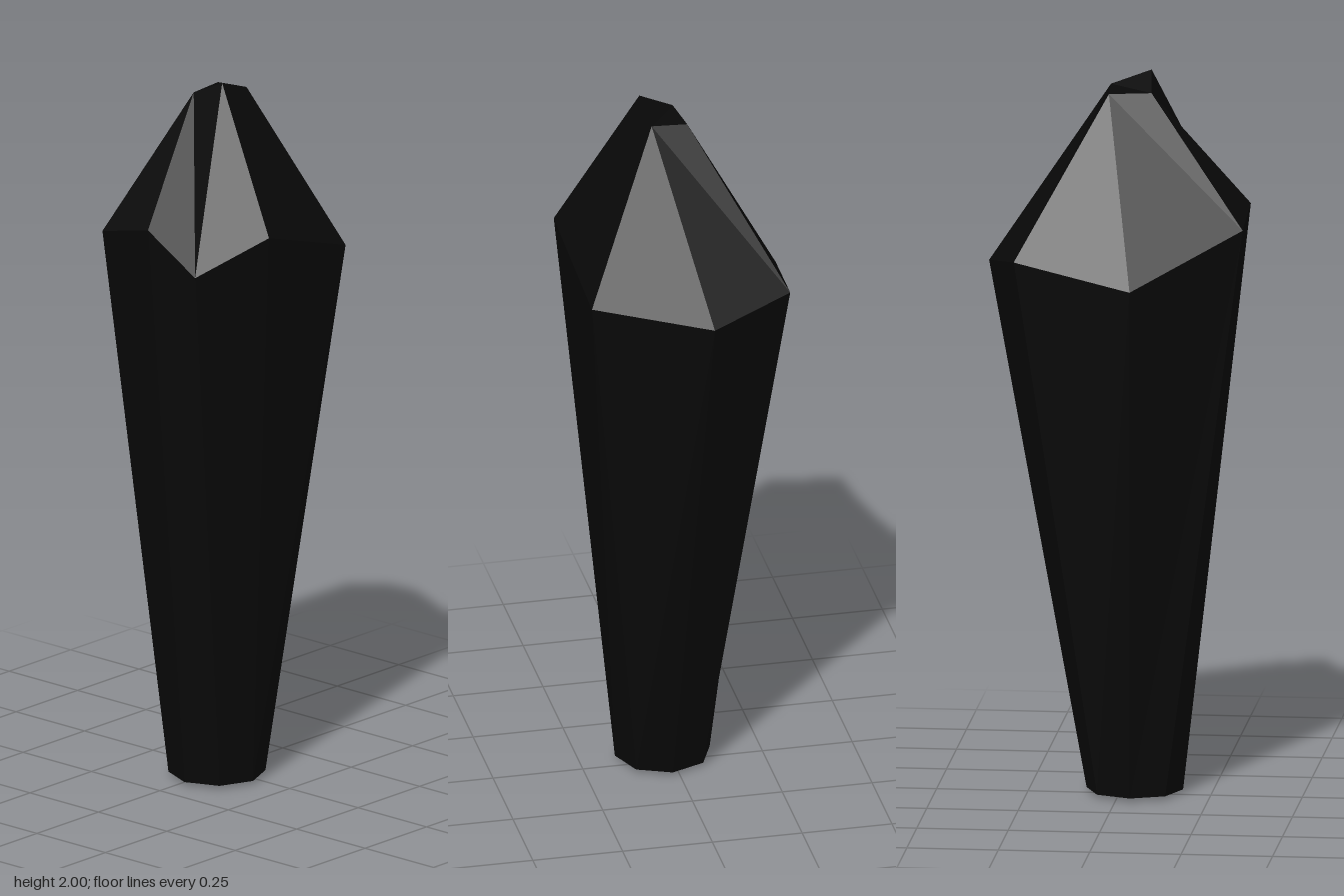
import * as THREE from 'three';

export function createModel() {
  const group = new THREE.Group();
  group.name = 'crystalShard';

  // Shoulder corners: x, y, z, and the tip corner each one leads up to
  const shoulder = [
    [0.352, 1.485, -0.04, 0], [0.205, 1.51, 0.27, 0],
    [-0.14, 1.62, 0.3, 1], [-0.307, 1.52, 0.18, 1],
    [-0.354, 1.64, 0.05, 2], [-0.35, 1.6, -0.12, 2],
    [-0.06, 1.46, -0.3, 3], [0.26, 1.53, -0.27, 3],
  ];
  // Small tilted facet at the tip
  const tip = [
    [0.03, 1.96, 0.065], [-0.08, 2, 0.075], [-0.09, 1.955, -0.02], [0.025, 1.953, -0.035],
  ];
  // Regular octagonal foot
  const foot = shoulder.map((_, i) => {
    const a = (i * Math.PI) / 4;
    return [-0.04 + 0.132 * Math.cos(a), 0.01, 0.02 + 0.132 * Math.sin(a)];
  });
  const footCentre = [-0.04, 0, 0.02];

  const body = [], crown = [];
  const tri = (list, ...corners) => corners.forEach((c) => list.push(c[0], c[1], c[2]));

  shoulder.forEach((s, i) => {
    const j = (i + 1) % 8;
    const n = shoulder[j];
    const t = tip[s[3]], u = tip[n[3]];
    // Tapering shaft and underside
    tri(body, foot[i], s, foot[j]);
    tri(body, s, n, foot[j]);
    tri(body, footCentre, foot[i], foot[j]);
    // Crown facets
    if (t === u) {
      tri(crown, s, t, n);
    } else if (i === 1) {
      tri(crown, s, t, n);
      tri(crown, n, t, u);
    } else {
      tri(crown, s, u, n);
      tri(crown, s, t, u);
    }
  });
  tri(crown, tip[0], tip[3], tip[2]);
  tri(crown, tip[0], tip[2], tip[1]);

  const material = new THREE.MeshStandardMaterial({ color: 0x080808, flatShading: true });
  const addPart = (name, positions) => {
    const geometry = new THREE.BufferGeometry();
    geometry.setAttribute('position', new THREE.Float32BufferAttribute(positions, 3));
    geometry.computeVertexNormals();
    const mesh = new THREE.Mesh(geometry, material);
    mesh.name = name;
    group.add(mesh);
  };
  addPart('shaft', body);
  addPart('crown', crown);
  return group;
}
